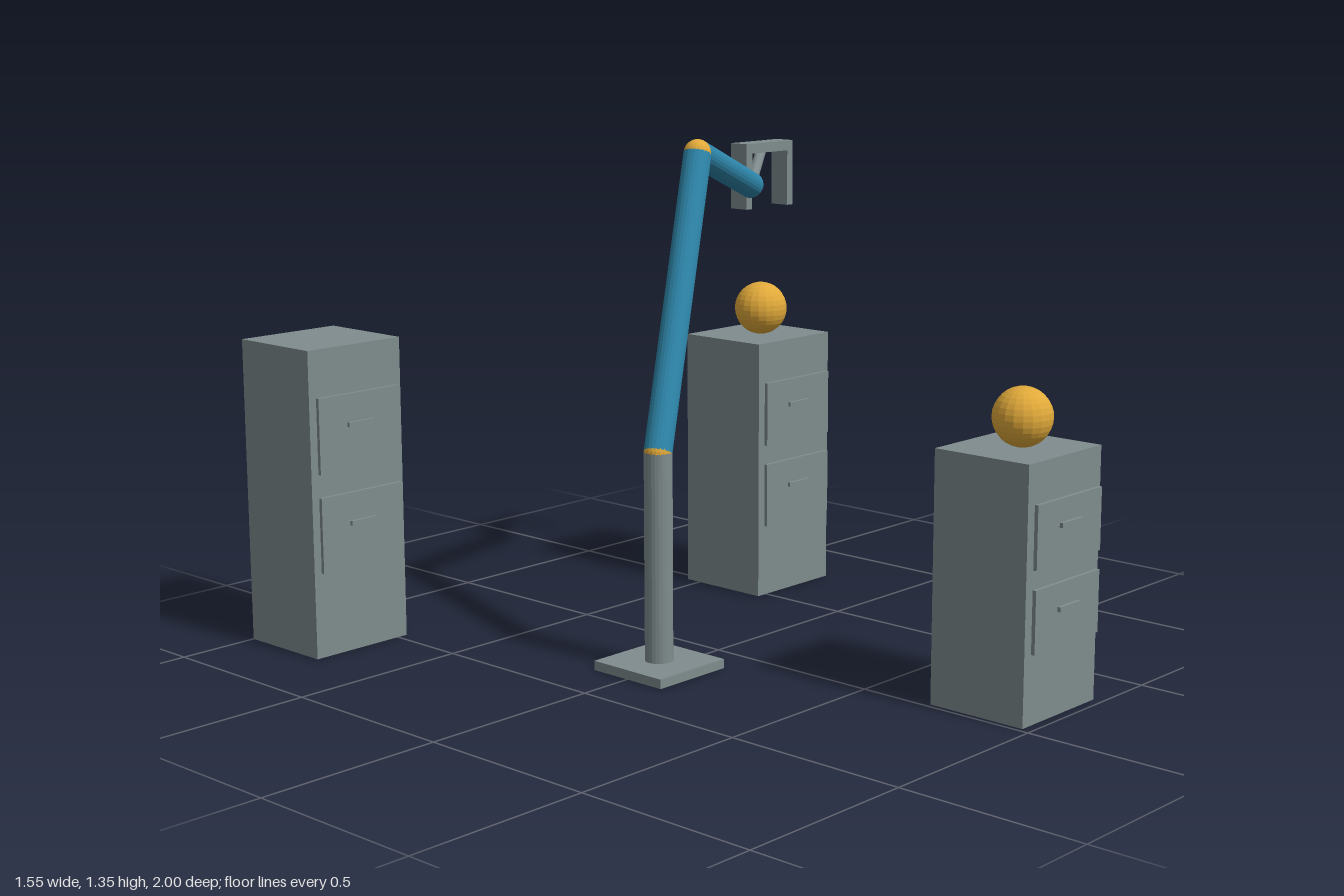
import * as THREE from 'three';

export function createModel() {
  const model = new THREE.Group();
  model.name = 'robotArmWithCabinets';

  const material = (name, color) => {
    const m = new THREE.MeshStandardMaterial({ color, flatShading: true });
    m.name = name;
    return m;
  };
  const grey = material('steelGrey', 0x7f8c8d);
  const blue = material('armBlue', 0x2e86ab);
  const gold = material('gold', 0xe0a93a);

  const add = (parent, name, geometry, mat, x, y, z) => {
    const mesh = new THREE.Mesh(geometry, mat);
    mesh.name = name;
    mesh.position.set(x, y, z);
    parent.add(mesh);
    return mesh;
  };
  const box = (parent, name, size, x, y, z) =>
    add(parent, name, new THREE.BoxGeometry(...size), grey, x, y, z);
  const ball = (parent, name, radius, p) =>
    add(parent, name, new THREE.SphereGeometry(radius, 20, 16), gold, p.x, p.y, p.z);

  // Cylinder running between two points
  const rod = (parent, name, a, b, radius, mat) => {
    const dir = b.clone().sub(a);
    const mid = a.clone().add(b).multiplyScalar(0.5);
    const mesh = add(parent, name,
      new THREE.CylinderGeometry(radius, radius, dir.length(), 24), mat, mid.x, mid.y, mid.z);
    mesh.quaternion.setFromUnitVectors(new THREE.Vector3(0, 1, 0), dir.normalize());
  };

  // Cabinets with two drawers; some carry a ball
  const depth = 0.277;
  const cabinet = (name, x, front, h, hasBall) => {
    const g = new THREE.Group();
    g.name = name;
    g.position.set(x, 0, front);
    model.add(g);
    box(g, 'cabinetBody', [0.305, h, depth], 0, h / 2, -depth / 2);
    for (const [label, level] of [['lower', 0.404], ['upper', 0.725]]) {
      box(g, label + 'Drawer', [0.27, 0.246 * h, 0.01], 0, level * h, 0.012);
      box(g, label + 'Handle', [0.087, 0.0125, 0.011], 0, (level + 0.024) * h, 0.0205);
    }
    if (hasBall) ball(g, 'ball', 0.0755, new THREE.Vector3(0, h + 0.0755, -0.128));
  };
  cabinet('backCabinet', -0.622, -0.723, 0.824, false);
  cabinet('sideCabinet', 0.618, -0.269, 0.737, true);
  cabinet('frontCabinet', 0.167, 0.974, 0.65, true);

  // Robot arm: base, post, two jointed links
  const arm = new THREE.Group();
  arm.name = 'robotArm';
  model.add(arm);
  const r = 0.037;
  const foot = new THREE.Vector3(-0.229, 0.02, 0);
  const shoulder = new THREE.Vector3(-0.229, 0.578, 0);
  const elbow = new THREE.Vector3(0.073, 1.311, -0.141);
  const wrist = new THREE.Vector3(0.517, 1.18, -0.347);
  const hand = new THREE.Vector3(0.619, 1.28, -0.395);
  box(arm, 'basePlate', [0.238, 0.025, 0.238], -0.229, 0.0125, 0);
  rod(arm, 'post', foot, shoulder, r, grey);
  ball(arm, 'shoulderJoint', r, shoulder);
  rod(arm, 'upperArm', shoulder, elbow, r, blue);
  ball(arm, 'elbowJoint', r, elbow);
  rod(arm, 'forearm', elbow, wrist, r, blue);
  rod(arm, 'wristRod', wrist, hand, 0.015, grey);

  // Gripper: crossbar with two fingers
  const gripper = new THREE.Group();
  gripper.name = 'gripper';
  gripper.position.copy(hand);
  arm.add(gripper);
  box(gripper, 'crossbar', [0.2, 0.028, 0.06], 0, 0, 0);
  for (const [side, s] of [['left', 1], ['right', -1]])
    box(gripper, side + 'Finger', [0.024, 0.16, 0.06], s * 0.088, -0.092, 0);

  return model;
}
